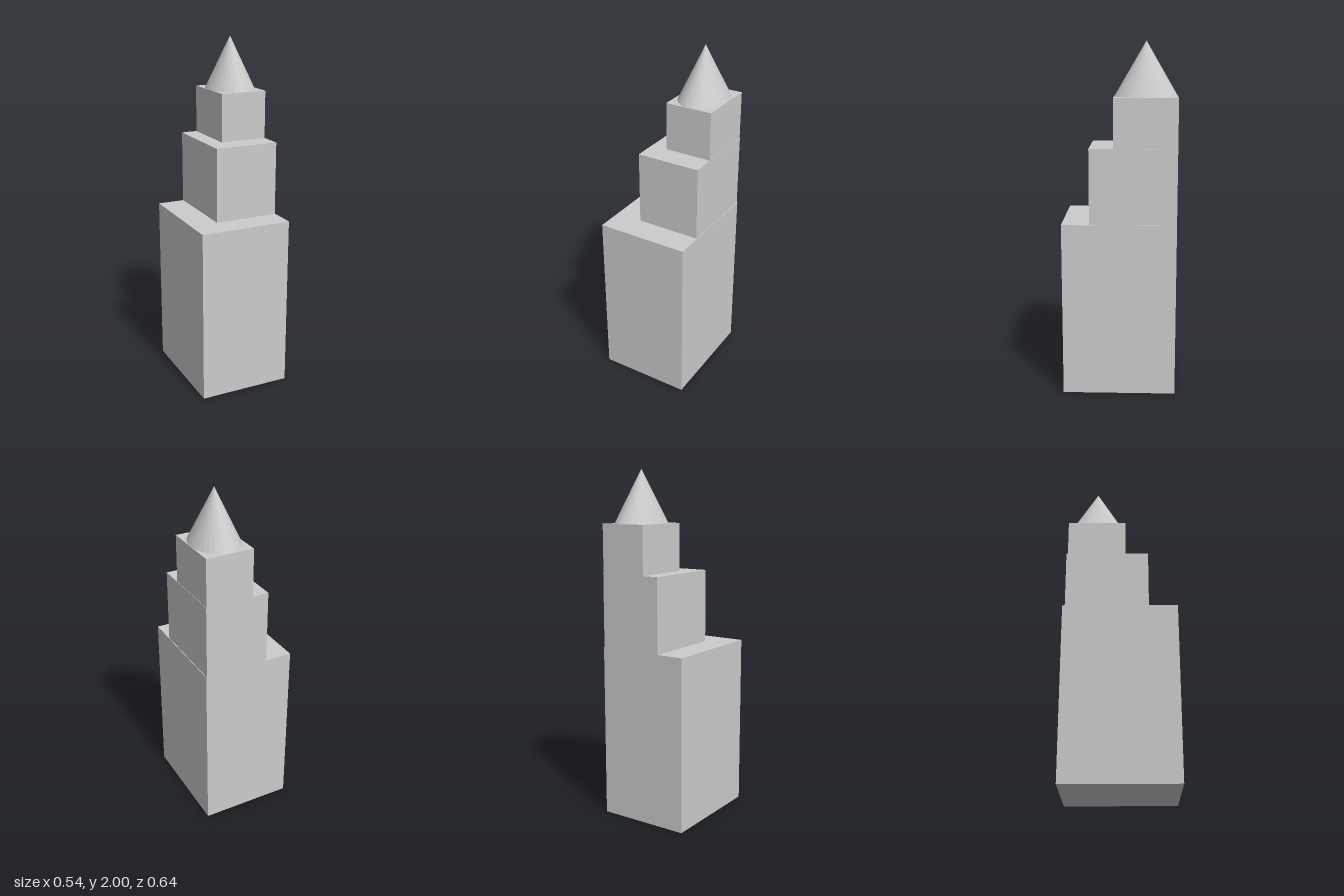
import * as THREE from 'three';

export function createModel() {
  const group = new THREE.Group();
  group.name = 'steppedTower';
  const material = new THREE.MeshStandardMaterial({ color: 0xcccccc, flatShading: true });

  function add(name, geometry, x, y, z) {
    const mesh = new THREE.Mesh(geometry, material);
    mesh.name = name;
    mesh.position.set(x, y, z);
    group.add(mesh);
    return mesh;
  }

  // Stacked blocks, flush at the back and nearly flush on the left
  const back = -0.322;
  const tiers = [
    { name: 'baseBlock', x0: -0.268, x1: 0.268, front: 0.322, y0: 0, y1: 1 },
    { name: 'middleBlock', x0: -0.109, x1: 0.264, front: 0.166, y0: 1, y1: 1.425 },
    { name: 'topBlock', x0: -0.014, x1: 0.262, front: 0.031, y0: 1.425, y1: 1.7 },
  ];
  for (const { name, x0, x1, front, y0, y1 } of tiers) {
    add(name, new THREE.BoxGeometry(x1 - x0, y1 - y0, front - back),
      (x0 + x1) / 2, (y0 + y1) / 2, (front + back) / 2);
  }

  // Elliptical faceted spire filling the top block
  const spire = add('spire', new THREE.ConeGeometry(1, 0.3, 32), 0.123, 1.85, -0.146);
  spire.scale.set(0.137, 1, 0.176);

  return group;
}
